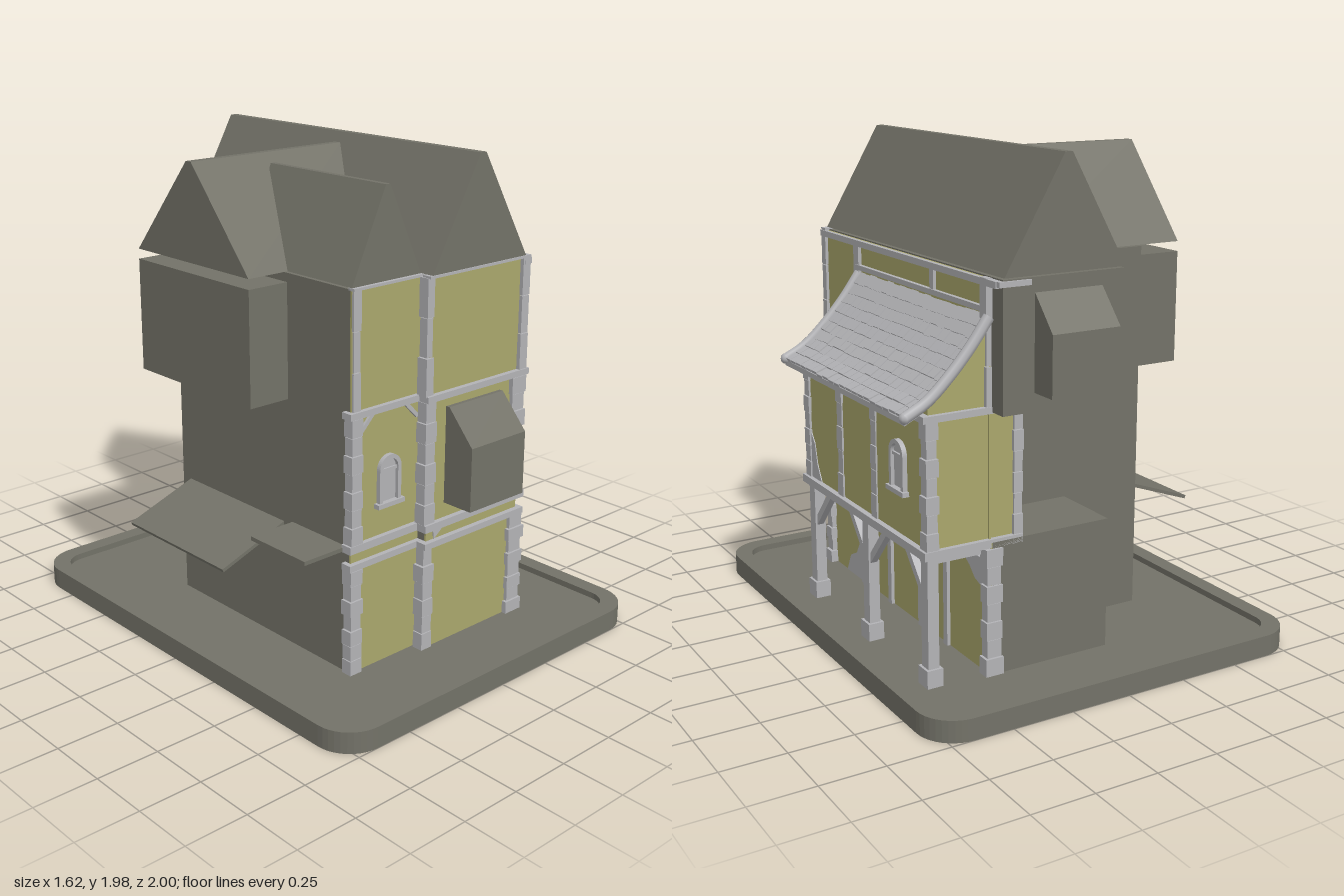
import * as THREE from 'three';

const dark = new THREE.MeshStandardMaterial({ color: 0x737268 });
dark.name = 'dark slate';
const plaster = new THREE.MeshStandardMaterial({ color: 0xaaa76c });
plaster.name = 'ochre plaster';
const stone = new THREE.MeshStandardMaterial({ color: 0xb3b3b6 });
stone.name = 'pale stone and timber';

export function createModel() {
  const model = new THREE.Group();
  model.name = 'townHouse';
  let seed = 7;
  const rnd = () => (seed = (seed * 16807) % 2147483647) / 2147483647;

  const add = (name, geo, mat, parent = model) => {
    const m = new THREE.Mesh(geo, mat);
    m.name = name;
    parent.add(m);
    return m;
  };
  // box given by its limits
  const box = (name, mat, x0, x1, y0, y1, z0, z1, parent) => {
    const m = add(name, new THREE.BoxGeometry(x1 - x0, y1 - y0, z1 - z0), mat, parent);
    m.position.set((x0 + x1) / 2, (y0 + y1) / 2, (z0 + z1) / 2);
    return m;
  };
  // outline extruded from a to b along z, or along x when axis is 'x' (outline then reads z, y)
  const prism = (name, mat, pts, a, b, axis = 'z') => {
    const s = new THREE.Shape(pts.map(([u, v]) => new THREE.Vector2(axis === 'x' ? -u : u, v)));
    const g = new THREE.ExtrudeGeometry(s, { depth: b - a, bevelEnabled: false });
    g.translate(0, 0, a);
    if (axis === 'x') g.rotateY(Math.PI / 2);
    return add(name, g, mat);
  };
  // straight timber between two points
  const timber = (name, p, q, w) => {
    const a = new THREE.Vector3(...p), b = new THREE.Vector3(...q);
    const m = add(name, new THREE.BoxGeometry(w, w, a.distanceTo(b)), stone);
    m.position.copy(a).lerp(b, 0.5);
    m.lookAt(b);
    return m;
  };
  // column of uneven stacked blocks
  const quoins = (name, x, z, y0, y1, w, d, n) => {
    const g = new THREE.Group();
    g.name = name;
    const h = (y1 - y0) / n;
    for (let i = 0; i < n; i++) {
      const k = (i % 2 ? 0.84 : 1) + (rnd() - 0.5) * 0.14;
      box('block', stone, x - w * k / 2, x + w * k / 2, y0 + i * h, y0 + (i + 1) * h - 0.003,
        z - d * k / 2, z + d * k / 2, g);
    }
    model.add(g);
  };

  // plinth with raised rim
  const rounded = (C, w, d, r) => {
    const s = new C();
    s.moveTo(w - r, -d).absarc(w - r, -d + r, r, -Math.PI / 2, 0)
      .absarc(w - r, d - r, r, 0, Math.PI / 2)
      .absarc(-w + r, d - r, r, Math.PI / 2, Math.PI)
      .absarc(-w + r, -d + r, r, Math.PI, Math.PI * 1.5);
    return s;
  };
  const slab = (name, shape, h) => add(name,
    new THREE.ExtrudeGeometry(shape, { depth: h, bevelEnabled: false, curveSegments: 5 }).rotateX(-Math.PI / 2), dark);
  const rim = rounded(THREE.Shape, 0.81, 1, 0.15);
  rim.holes.push(rounded(THREE.Path, 0.74, 0.93, 0.09));
  slab('plinthRim', rim, 0.085);
  slab('plinthFloor', rounded(THREE.Shape, 0.75, 0.94, 0.1), 0.06);

  // core volumes
  box('sideBlock', dark, -0.45, -0.1, 0.05, 1.555, -0.4, 0.62);
  box('mainBlock', dark, -0.1, 0.41, 0.05, 1.555, -0.4, 0.665);
  box('rearAnnex', dark, -0.1, 0.41, 0.05, 0.58, -0.7, -0.4);
  box('rearOverhang', dark, -0.1, 0.41, 1.07, 1.555, -0.77, -0.4);
  box('westWing', dark, -0.63, -0.45, 1.07, 1.52, -0.4, 0.28);

  // plaster faces
  box('sideFrontPlaster', plaster, -0.45, -0.1, 0.06, 1.55, 0.62, 0.628);
  box('mainFrontPlaster', plaster, -0.1, 0.418, 0.06, 1.55, 0.665, 0.673);
  box('groundRightPlaster', plaster, 0.41, 0.418, 0.06, 0.58, -0.7, 0.672);
  box('upperRightPlaster', plaster, 0.41, 0.418, 0.58, 1.55, -0.69, 0.672);
  box('galleryRoom', plaster, 0.28, 0.665, 0.565, 1.08, -0.68, 0.345);

  // roofs
  const gable = (c, half, top, flat) => [[c - half, 1.56], [c + half, 1.56], [c + flat, top], [c - flat, top]];
  prism('mainRoof', dark, [[-0.105, 1.56], [0.405, 1.56], [0.16, 1.98], [0.13, 1.98]], -0.77, 0.685);
  prism('sideGableRoof', dark, gable(-0.277, 0.17, 1.905, 0.011), 0, 0.625);
  const wing = gable(-0.06, 0.34, 1.94, 0.015).map(([u, v]) => [u, v]);
  prism('westWingRoof', dark, wing, -0.63, 0.11, 'x');

  // bay windows with sloped tops
  prism('frontBay', dark, [[0.66, 0.65], [0.81, 0.65], [0.81, 0.905], [0.69, 1.04], [0.66, 1.04]], -0.005, 0.295, 'x');
  prism('rearBay', dark, [[-0.76, 1.14], [-0.885, 1.14], [-0.885, 1.37], [-0.77, 1.5], [-0.76, 1.5]], -0.005, 0.28, 'x');

  // awnings on the left-hand wall
  prism('slopedAwning', dark, [[-0.45, 0.55], [-0.45, 0.565], [-0.755, 0.455], [-0.75, 0.442]], -0.35, 0.25);
  box('flatAwning', dark, -0.655, -0.45, 0.562, 0.578, 0.3, 0.605);

  // columns on the front and right walls
  quoins('leftCornerGround', -0.435, 0.622, 0.06, 0.49, 0.062, 0.05, 7);
  quoins('leftCornerMiddle', -0.432, 0.622, 0.59, 1.08, 0.055, 0.045, 7);
  quoins('leftCornerUpper', -0.43, 0.62, 1.1, 1.555, 0.036, 0.035, 3);
  quoins('middleGround', -0.095, 0.66, 0.06, 0.49, 0.058, 0.05, 6);
  quoins('middleMiddle', -0.095, 0.66, 0.59, 1.08, 0.058, 0.05, 6);
  quoins('middleUpper', -0.107, 0.66, 1.1, 1.555, 0.036, 0.045, 3);
  quoins('rightCornerGround', 0.405, 0.665, 0.06, 0.49, 0.085, 0.055, 8);
  quoins('rightCornerMiddle', 0.39, 0.665, 0.59, 1.08, 0.08, 0.055, 7);
  quoins('rightCornerUpper', 0.41, 0.67, 1.1, 1.555, 0.044, 0.04, 3);
  quoins('rearCornerUpper', 0.412, -0.675, 1.08, 1.555, 0.044, 0.045, 3);
  quoins('rearCornerGround', 0.405, -0.685, 0.06, 0.56, 0.07, 0.05, 7);
  quoins('upperStud', 0.412, 0.35, 1.1, 1.53, 0.04, 0.045, 3);

  // horizontal beams
  for (const [y0, y1] of [[0.56, 0.59], [0.49, 0.515], [1.08, 1.105]]) {
    box('sideFrontBeam', stone, -0.47, -0.09, y0, y1, 0.6, 0.648);
    box('mainFrontBeam', stone, -0.125, 0.44, y0, y1, 0.65, 0.695);
    box('rightBeam', stone, 0.4, 0.436, y0, y1, y0 < 0.5 ? -0.7 : 0.34, 0.69);
  }
  box('sideFrontPlate', stone, -0.45, -0.1, 1.55, 1.56, 0.61, 0.64);
  box('mainFrontPlate', stone, -0.12, 0.43, 1.55, 1.56, 0.65, 0.69);
  box('eavesBeam', stone, 0.4, 0.435, 1.525, 1.55, -0.76, 0.69);
  box('lowerEavesBeam', stone, 0.4, 0.435, 1.43, 1.45, -0.69, 0.35);
  box('eavesStud', stone, 0.4, 0.43, 1.45, 1.53, -0.305, -0.275);
  box('rearEavesBeam', stone, 0.3, 0.43, 1.53, 1.55, -0.78, -0.76);

  // ground floor studs below the gallery
  for (const z of [0.35, 0.095, -0.17, -0.38]) box('wallStud', stone, 0.4, 0.432, 0.06, 0.56, z - 0.015, z + 0.015);

  // gallery frame
  for (const [y0, y1] of [[0.56, 0.592], [1.065, 1.09]]) {
    box('galleryLongBeam', stone, 0.645, 0.688, y0, y1, -0.7, 0.37);
    box('galleryFrontBeam', stone, 0.42, 0.688, y0, y1, 0.325, 0.362);
    box('galleryRearBeam', stone, 0.28, 0.688, y0, y1, -0.7, -0.665);
  }
  quoins('galleryFrontCorner', 0.652, 0.335, 0.59, 1.07, 0.05, 0.05, 7);
  quoins('galleryRearCorner', 0.652, -0.67, 0.59, 1.07, 0.05, 0.05, 7);
  quoins('galleryStud', 0.655, 0.03, 0.59, 1.07, 0.036, 0.05, 5);
  quoins('galleryStud', 0.655, -0.265, 0.59, 1.07, 0.036, 0.05, 5);
  quoins('galleryWallPost', 0.43, 0.335, 0.59, 1.07, 0.035, 0.04, 5);
  quoins('galleryInnerPost', 0.295, -0.675, 0.59, 1.07, 0.04, 0.035, 6);

  // posts and braces
  for (const z of [0.33, -0.17, -0.65]) {
    box('post', stone, 0.62, 0.665, 0.06, 0.565, z - 0.025, z + 0.025);
    box('postFoot', stone, 0.61, 0.675, 0.06, 0.13, z - 0.036, z + 0.036);
    for (const s of [-1, 1]) {
      if (Math.abs(z + s * 0.16 + 0.16) > 0.5) continue;
      timber('brace', [0.643, 0.39, z + s * 0.015], [0.643, 0.56, z + s * 0.165], 0.028);
    }
    box('crossBeam', stone, 0.42, 0.645, 0.53, 0.562, z - 0.016, z + 0.016);
  }

  // small corner braces on the side front
  timber('cornerBrace', [-0.41, 1.02, 0.63], [-0.35, 1.08, 0.63], 0.016);
  timber('cornerBrace', [-0.12, 1.02, 0.63], [-0.18, 1.08, 0.63], 0.016);

  // swept gallery roof
  const sweep = new THREE.CatmullRomCurve3([[0.42, 1.415], [0.49, 1.32], [0.58, 1.22], [0.67, 1.14], [0.755, 1.095]]
    .map(([x, y]) => new THREE.Vector3(x, y, 0)));
  const line = sweep.getSpacedPoints(10);
  prism('galleryGableWall', plaster, [[0.415, 1.08], [0.66, 1.08], [0.66, 1.125], [0.57, 1.2], [0.48, 1.305], [0.415, 1.385]], -0.68, 0.342);
  prism('galleryRoofDeck', stone, [...line.map(p => [p.x, p.y - 0.028]), ...line.map(p => [p.x, p.y - 0.006]).reverse()], -0.69, 0.35);
  const tiles = new THREE.Group();
  tiles.name = 'roofTiles';
  model.add(tiles);
  const cols = 20, tw = 1.02 / cols;
  for (let r = 0; r < 10; r++) {
    const a = line[r], b = line[r + 1], len = a.distanceTo(b);
    for (let c = 0; c < cols; c++) {
      const t = add('tile', new THREE.BoxGeometry(len * 1.12, 0.012, tw - 0.004), stone, tiles);
      t.position.set((a.x + b.x) / 2, (a.y + b.y) / 2 + (rnd() - 0.5) * 0.006, -0.68 + (c + 0.5) * tw);
      t.rotation.z = Math.atan2(b.y - a.y, b.x - a.x) + 0.1;
    }
  }
  for (const z of [-0.69, 0.345]) {
    const edge = add('vergeRoll', new THREE.TubeGeometry(sweep, 14, 0.022, 8), stone);
    edge.position.z = z;
    const cap = add('vergeCap', new THREE.SphereGeometry(0.022, 8, 6), stone);
    cap.position.set(0.755, 1.095, z);
  }

  // arched windows
  const archedWindow = (name, x, y, z, turn) => {
    const g = new THREE.Group();
    g.name = name;
    const arch = (C, w, h) => {
      const s = new C();
      s.moveTo(-w, 0).lineTo(w, 0).lineTo(w, h).absarc(0, h, w, 0, Math.PI).lineTo(-w, 0);
      return s;
    };
    const frame = arch(THREE.Shape, 0.055, 0.135);
    frame.holes.push(arch(THREE.Path, 0.038, 0.135));
    add('frame', new THREE.ExtrudeGeometry(frame, { depth: 0.02, bevelEnabled: false }), stone, g);
    add('pane', new THREE.ExtrudeGeometry(arch(THREE.Shape, 0.04, 0.135), { depth: 0.006, bevelEnabled: false }), stone, g);
    box('sill', stone, -0.068, 0.068, -0.012, 0.006, 0, 0.028, g);
    box('transom', stone, -0.04, 0.04, 0.125, 0.137, 0, 0.014, g);
    g.position.set(x, y, z);
    g.rotation.y = turn;
    model.add(g);
  };
  archedWindow('frontWindow', -0.265, 0.715, 0.626, 0);
  archedWindow('galleryWindow', 0.664, 0.765, -0.475, Math.PI / 2);

  // bare bricks and broken plaster patches
  for (const [x, y, z, w, h] of [[0.415, 1.16, 0.445, 0.08, 0.045], [0.415, 0.945, 0.54, 0.08, 0.03],
    [0.415, 0.67, 0.46, 0.045, 0.035], [0.415, 0.45, -0.32, 0.08, 0.03], [0.415, 0.41, -0.34, 0.045, 0.03]])
    box('bareBrick', stone, x - 0.005, x + 0.013, y - h / 2, y + h / 2, z - w / 2, z + w / 2);
  prism('groundPatch', stone, [[0.53, 0.06], [0.36, 0.06], [0.36, 0.25], [0.4, 0.22], [0.43, 0.17], [0.49, 0.14]], 0.415, 0.422, 'x');
  prism('galleryPatch', stone, [[0.22, 0.59], [0.33, 0.59], [0.31, 0.78], [0.28, 0.74], [0.26, 0.66]], 0.663, 0.669, 'x');
  prism('rearPatch', stone, [[-0.48, 0.49], [-0.65, 0.49], [-0.65, 0.39], [-0.59, 0.41], [-0.55, 0.45]], 0.415, 0.422, 'x');
  prism('frontPatch', stone, [[-0.06, 0.515], [0.0, 0.56], [-0.03, 0.56], [-0.065, 0.56]], 0.67, 0.677);

  return model;
}
